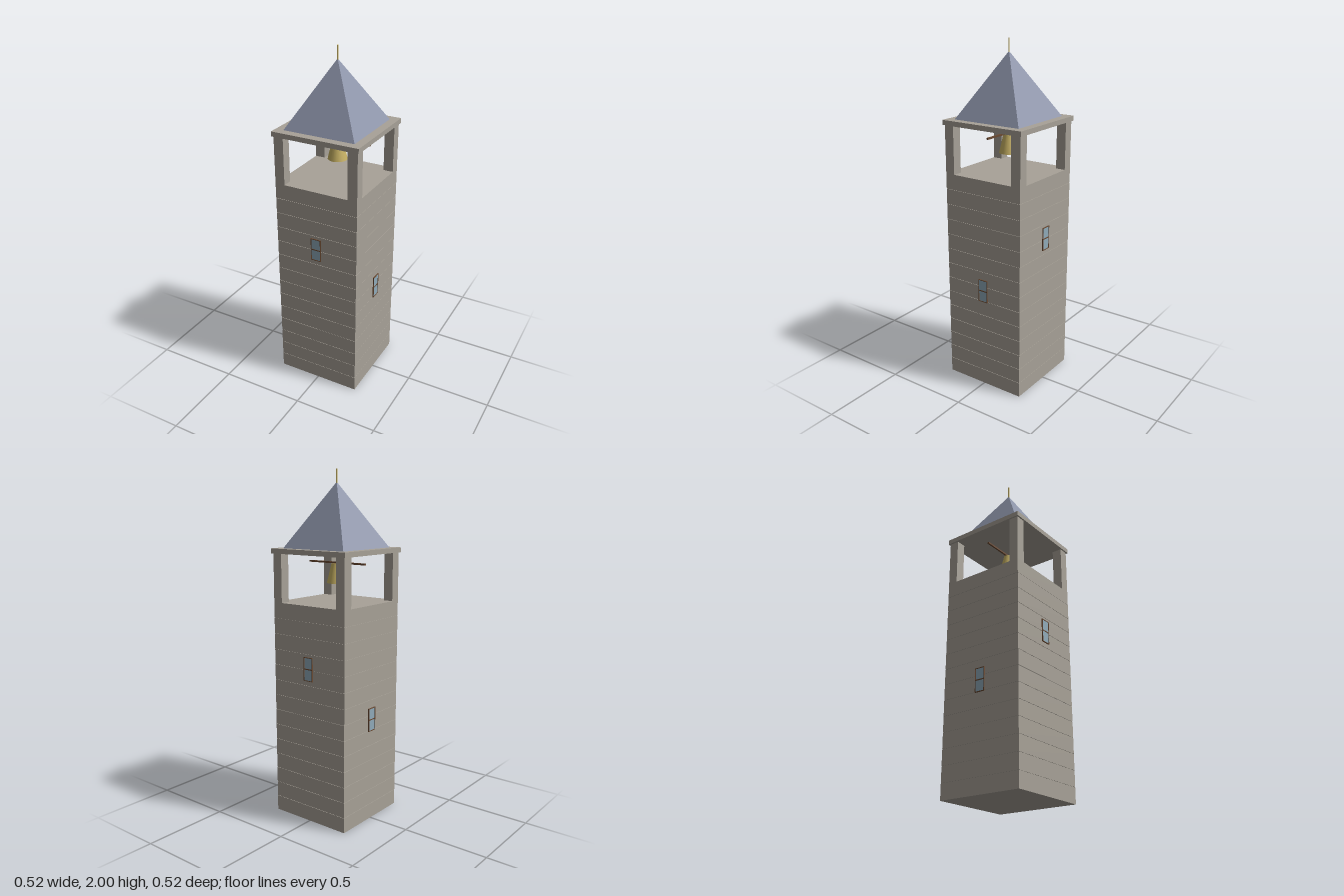
import * as THREE from 'three';

const mat = (name, color) => {
  const m = new THREE.MeshStandardMaterial({ color });
  m.name = name;
  return m;
};

export function createModel() {
  const stone = mat('stone', 0xa8a298);
  const slate = mat('slate', 0x8e95aa);
  const brass = mat('brass', 0xc8b264);
  const wood = mat('wood', 0x6b4a32);
  const glass = mat('glass', 0x90abba);
  slate.flatShading = true;

  const tower = new THREE.Group();
  tower.name = 'bellTower';

  const add = (parent, name, geometry, material, x = 0, y = 0, z = 0) => {
    const mesh = new THREE.Mesh(geometry, material);
    mesh.name = name;
    mesh.position.set(x, y, z);
    parent.add(mesh);
    return mesh;
  };
  const box = (parent, name, w, h, d, material, x, y, z) =>
    add(parent, name, new THREE.BoxGeometry(w, h, d), material, x, y, z);

  // Shaft: stone courses separated by fine joints around a core
  const shaftTop = 1.265, courses = 14, step = shaftTop / courses, joint = 0.002;
  box(tower, 'shaftCore', 0.498, shaftTop - 0.004, 0.498, stone, 0, shaftTop / 2, 0);
  for (let i = 0; i < courses; i++) {
    box(tower, 'stoneCourse', 0.504, step - joint, 0.504, stone, 0, (i + 0.5) * step + joint / 2, 0);
  }

  // Belfry: corner posts and the slab they carry
  for (const x of [-1, 1]) {
    for (const z of [-1, 1]) {
      box(tower, 'belfryPost', 0.058, 0.275, 0.058, stone, x * 0.223, 1.4025, z * 0.223);
    }
  }
  box(tower, 'cornice', 0.522, 0.028, 0.522, stone, 0, 1.554, 0);

  // Pyramid roof and finial
  const roof = new THREE.ConeGeometry(0.213 * Math.SQRT2, 0.362, 4);
  roof.rotateY(Math.PI / 4);
  add(tower, 'roof', roof, slate, 0, 1.749, 0);
  add(tower, 'finial', new THREE.CylinderGeometry(0.004, 0.004, 0.09, 8), brass, 0, 1.955, 0);

  // Bell hanging from its beam
  box(tower, 'bellBeam', 0.4, 0.01, 0.01, wood, 0, 1.485, 0);
  add(tower, 'bell', new THREE.CylinderGeometry(0.03, 0.056, 0.11, 20), brass, 0, 1.425, 0);

  // One window per wall: high on front and back, lower on the sides
  for (let i = 0; i < 4; i++) {
    const win = new THREE.Group();
    win.name = 'window';
    box(win, 'windowGlass', 0.056, 0.13, 0.004, glass, 0, 0, 0.254);
    for (const s of [-1, 1]) {
      box(win, 'frameUpright', 0.004, 0.134, 0.006, wood, s * 0.029, 0, 0.255);
      box(win, 'frameRail', 0.062, 0.004, 0.006, wood, 0, s * 0.066, 0.255);
    }
    box(win, 'glazingBar', 0.056, 0.006, 0.006, wood, 0, 0, 0.255);
    win.position.y = i % 2 ? 0.608 : 0.91;
    win.rotation.y = i * Math.PI / 2;
    tower.add(win);
  }

  return tower;
}
